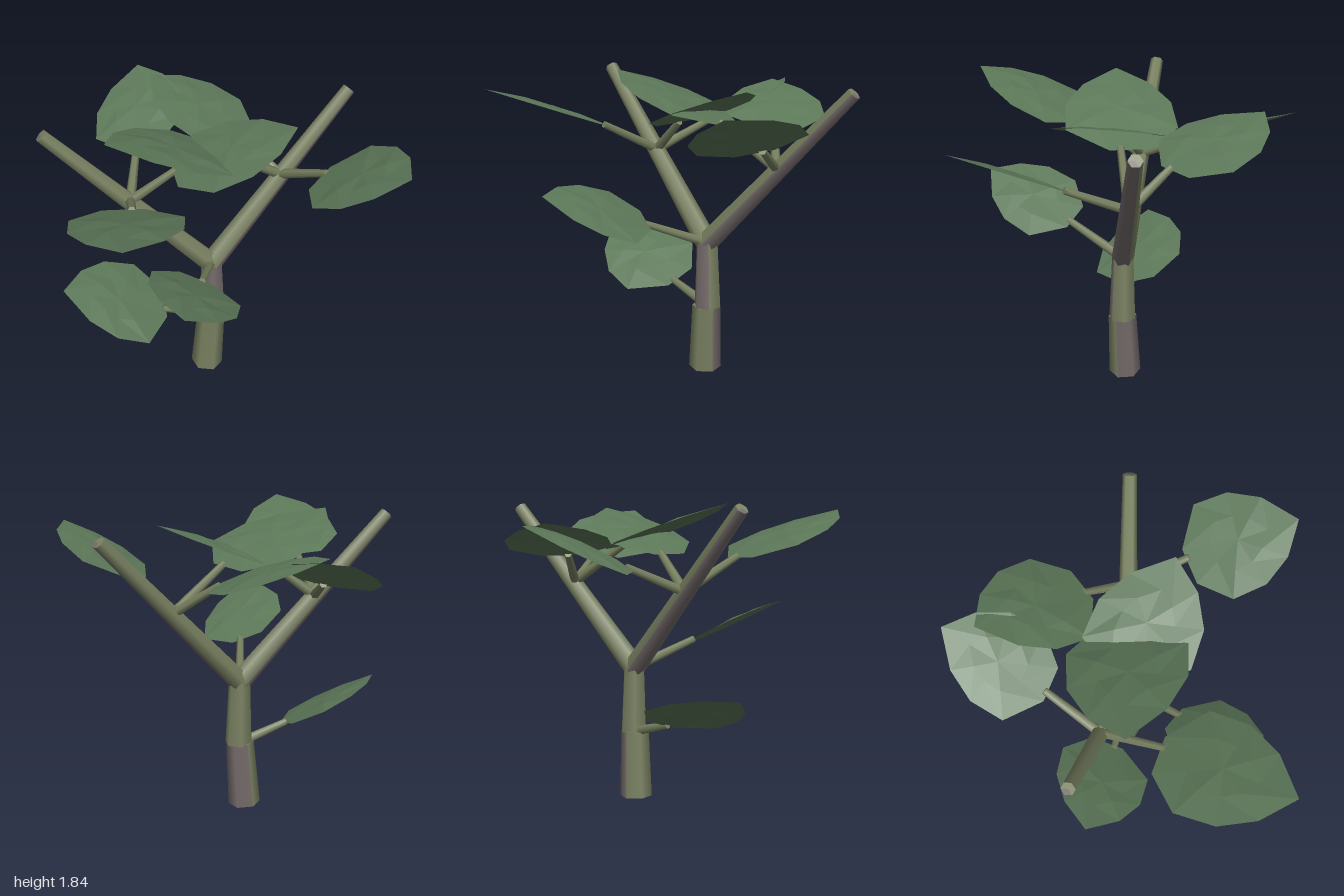
import * as THREE from 'three';

const UP = new THREE.Vector3(0, 1, 0);
const material = (color, flatShading = false) =>
  new THREE.MeshStandardMaterial({ color, flatShading, side: THREE.DoubleSide });
const moss = material(0x7a8262);
const bark = material(0x756c6b);
const stemGreen = material(0x77805f);
const leafGreen = material(0x5c7758, true);

// Leaf outline: first number runs from base (0) to tip (1), second across the leaf
const OUTLINE = [
  [0, 0.08], [0.2, 0.39], [0.5, 0.39], [0.76, 0.26], [1, 0],
  [0.83, -0.25], [0.6, -0.4], [0.3, -0.43], [0.04, -0.22],
];

// Tapered wooden limb between two points; its bare side starts at the given angle
function limb(name, from, to, r0, r1, bareStart = null) {
  const a = new THREE.Vector3(...from), b = new THREE.Vector3(...to);
  const dir = b.clone().sub(a), length = dir.length();
  const group = new THREE.Group();
  group.name = name;
  const part = (partName, mat, sides, start) => {
    const mesh = new THREE.Mesh(
      new THREE.CylinderGeometry(r1, r0, length, sides, 1, false, start, sides * Math.PI / 3), mat);
    mesh.name = partName;
    group.add(mesh);
  };
  if (bareStart === null) part(name + 'Wood', stemGreen, 6, 0);
  else {
    const start = THREE.MathUtils.degToRad(bareStart);
    part(name + 'BareSide', bark, 2, start);
    part(name + 'MossySide', moss, 4, start + 2 * Math.PI / 3);
  }
  group.position.copy(a).add(b).multiplyScalar(0.5);
  group.quaternion.setFromUnitVectors(UP, dir.normalize());
  return group;
}

// Slightly domed faceted leaf, lying in a plane with the given slopes in x and z
function leaf(base, tip, slopeX, slopeZ, width) {
  const axis = tip.clone().sub(base), size = axis.length();
  const normal = new THREE.Vector3(-slopeX, 1, -slopeZ).normalize();
  const side = normal.clone().cross(axis).normalize().multiplyScalar(size * width);
  const at = (s, t, lift) => base.clone()
    .addScaledVector(axis, s).addScaledVector(side, t).addScaledVector(normal, lift * size);
  const rim = OUTLINE.map(([s, t]) => at(s, t, 0));
  const inner = OUTLINE.map(([s, t], i) =>
    at(0.48 + (s - 0.48) * 0.5, t * 0.5, i % 2 ? 0.026 : 0.014));
  const centre = at(0.48, 0, 0.026);
  const points = [];
  rim.forEach((p, i) => {
    const j = (i + 1) % rim.length;
    points.push(p, rim[j], inner[j], p, inner[j], inner[i], inner[i], inner[j], centre);
  });
  const geometry = new THREE.BufferGeometry().setFromPoints(points);
  geometry.computeVertexNormals();
  const mesh = new THREE.Mesh(geometry, leafGreen);
  mesh.name = 'leaf';
  return mesh;
}

export function createModel() {
  const tree = new THREE.Group();
  tree.name = 'tree';

  // Trunk in two stacked sections, then the two main branches
  const crotch = [0.04, 0.82, 0.035];
  tree.add(
    limb('lowerTrunk', [0.018, 0.006, 0.022], [0.038, 0.42, 0.038], 0.1, 0.087, 60),
    limb('upperTrunk', [0.048, 0.415, 0.04], [0.042, 0.83, 0.035], 0.085, 0.068, -80),
    limb('leftBranch', crotch, [0.96, 1.79, 0.01], 0.068, 0.04, 0),
    limb('rightBranch', crotch, [-0.87, 1.81, -0.23], 0.068, 0.04, 180),
  );

  // Where each leaf stem grows from
  const low = [0.03, 0.42, 0.03];
  const leftFork = [0.5, 1.33, 0.02];
  const rightFork = [-0.42, 1.33, -0.1];

  // Stem root, leaf base [x, z], tip [x, y, z], slopes of the leaf in x and z, width factor
  const leaves = [
    [low, [-0.24, -0.03], [-0.85, 0.755, -0.18], -0.31, -0.43, 1.05],
    [crotch, [-0.17, 0.34], [-0.53, 1.2, 0.86], -0.52, 0.08, 0.97],
    [rightFork, [-0.54, 0.23], [-0.87, 1.785, 0.92], -0.16, 0.32, 0.9],
    [rightFork, [-0.25, -0.39], [0.016, 1.72, -0.97], 0.41, -0.235, 0.97],
    [rightFork, [-0.2, 0], [0.45, 1.79, 0.28], 0.37, 0.08, 1],
    [leftFork, [0.6, 0.345], [0.73, 1.755, 0.96], 0.4, 0.35, 1.06],
    [leftFork, [0.36, -0.2], [0.02, 1.73, -0.79], -0.225, -0.24, 1.03],
    [leftFork, [0.17, 0.05], [-0.61, 1.83, 0.045], -0.35, 0.09, 0.98],
  ];
  for (const [root, [x, z], tipPoint, slopeX, slopeZ, width] of leaves) {
    const tip = new THREE.Vector3(...tipPoint);
    const base = new THREE.Vector3(x, tip.y + slopeX * (x - tip.x) + slopeZ * (z - tip.z), z);
    const stemEnd = base.clone().lerp(tip, 0.04);
    tree.add(
      limb('leafStem', root, stemEnd.toArray(), 0.031, 0.022),
      leaf(base, tip, slopeX, slopeZ, width),
    );
  }
  return tree;
}
